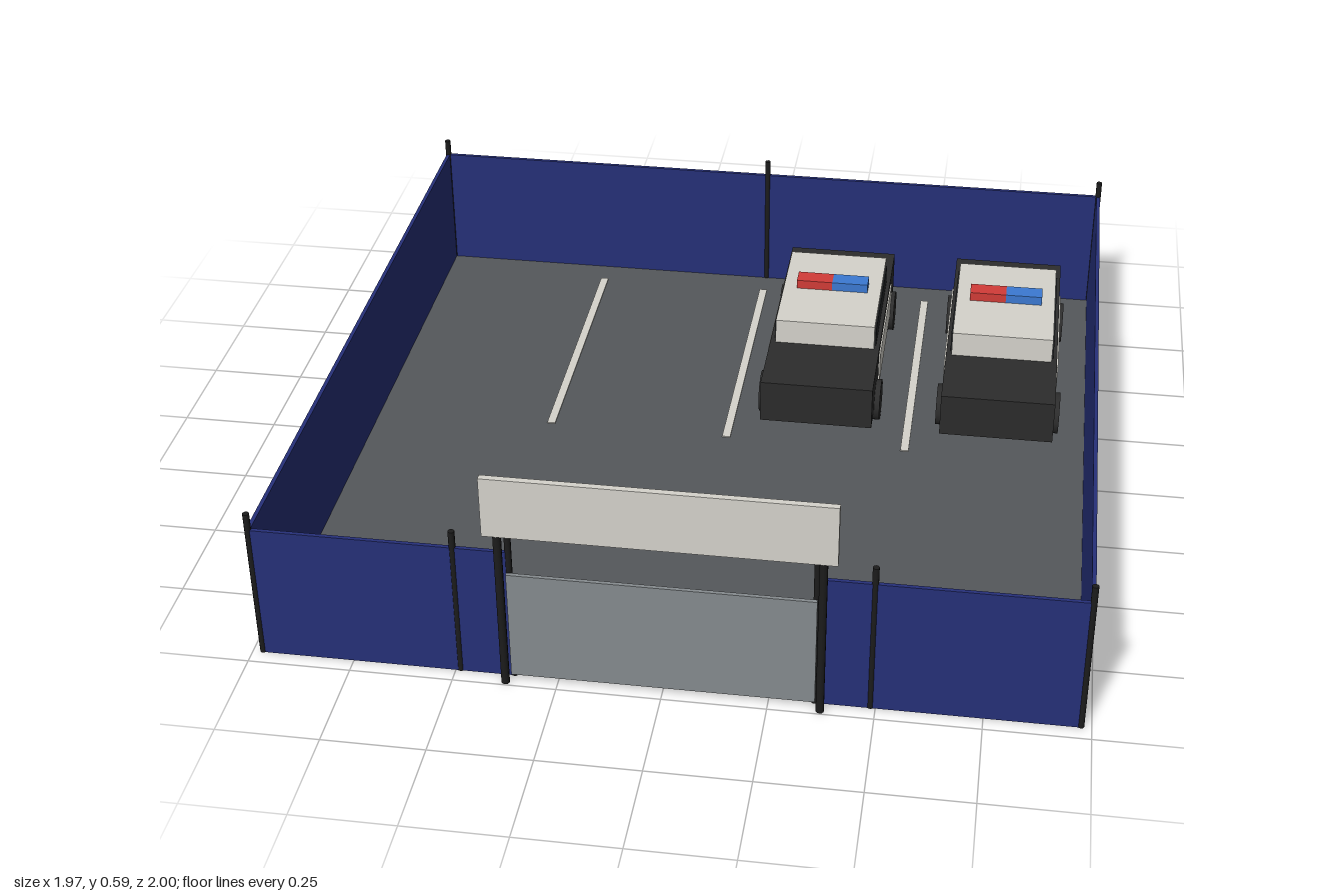
import * as THREE from 'three';

const mat = (name, color) => {
  const m = new THREE.MeshStandardMaterial({ color });
  m.name = name;
  return m;
};

export function createModel() {
  const asphalt = mat('asphalt grey', 0x55585b);
  const navy = mat('navy panel', 0x263079);
  const steel = mat('post black', 0x1c1c1c);
  const gateGrey = mat('gate grey', 0x868c8f);
  const white = mat('off white', 0xd6d4cc);
  const black = mat('car black', 0x2c2c2c);
  const glass = mat('window black', 0x222426);
  const red = mat('lamp red', 0xd23c38);
  const blue = mat('lamp blue', 0x3c7ad2);

  const model = new THREE.Group();
  model.name = 'fencedParkingLot';

  // Box given by its lower and upper limits on each axis
  const box = (parent, name, material, [x0, x1], [y0, y1], [z0, z1]) => {
    const mesh = new THREE.Mesh(new THREE.BoxGeometry(x1 - x0, y1 - y0, z1 - z0), material);
    mesh.position.set((x0 + x1) / 2, (y0 + y1) / 2, (z0 + z1) / 2);
    mesh.name = name;
    parent.add(mesh);
    return mesh;
  };
  const post = (name, x, z, height, radius) => {
    const mesh = new THREE.Mesh(new THREE.CylinderGeometry(radius, radius, height, 10), steel);
    mesh.position.set(x, height / 2, z);
    mesh.name = name;
    model.add(mesh);
  };

  // Ground and parking bay lines
  box(model, 'ground', asphalt, [-0.975, 0.975], [0, 0.01], [-0.993, 0.957]);
  for (const x of [-0.488, 0, 0.488])
    box(model, 'bayLine', white, [x - 0.011, x + 0.011], [0.01, 0.013], [-0.91, -0.1]);

  // Fence panels, with an opening at the front
  const wallY = [0, 0.36];
  box(model, 'backWall', navy, [-0.975, 0.975], wallY, [-0.998, -0.988]);
  for (const s of [-1, 1]) {
    const span = (a, b) => (s > 0 ? [a, b] : [-b, -a]);
    box(model, 'sideWall', navy, span(0.97, 0.98), wallY, [-0.993, 0.957]);
    box(model, 'frontWall', navy, span(0.357, 0.975), wallY, [0.952, 0.962]);
    post('cornerPost', s * 0.975, 0.957, 0.405, 0.008);
    post('cornerPost', s * 0.975, -0.992, 0.405, 0.008);
    post('frontPost', s * 0.488, 0.957, 0.405, 0.008);
    post('openingPost', s * 0.357, 0.957, 0.405, 0.008);
    post('gatePost', s * 0.373, 0.988, 0.44, 0.01);
  }
  post('backPost', 0, -0.992, 0.405, 0.008);

  // Sliding gate and the blank board over it
  box(model, 'gate', gateGrey, [-0.36, 0.36], [0.018, 0.31], [0.971, 0.981]);
  box(model, 'overheadBoard', white, [-0.406, 0.406], [0.43, 0.588], [0.984, 1]);

  // Parked patrol car, built about its own centre
  const makeCar = (x) => {
    const car = new THREE.Group();
    car.name = 'patrolCar';
    box(car, 'body', black, [-0.152, 0.152], [0.06, 0.18], [-0.38, 0.38]);
    box(car, 'cabin', white, [-0.137, 0.137], [0.17, 0.25], [-0.228, 0.165]);
    for (const s of [-1, 1]) {
      const plate = (name, m, at, y, z) =>
        box(car, name, m, [s * at - 0.003, s * at + 0.003], y, z);
      plate('sideWindow', glass, 0.138, [0.18, 0.237], [-0.205, 0.145]);
      plate('door', white, 0.153, [0.075, 0.165], [-0.228, 0.165]);
      for (const z of [-0.243, 0.243]) {
        const wheel = new THREE.Mesh(new THREE.CylinderGeometry(0.057, 0.057, 0.04, 16), black);
        wheel.name = 'wheel';
        wheel.rotation.z = Math.PI / 2;
        wheel.position.set(s * 0.147, 0.067, z);
        car.add(wheel);
      }
    }
    // Roof lamps
    box(car, 'redLamp', red, [-0.1, 0], [0.25, 0.275], [-0.07, -0.02]);
    box(car, 'blueLamp', blue, [0, 0.1], [0.25, 0.275], [-0.07, -0.02]);
    car.position.set(x, 0, -0.505);
    model.add(car);
  };
  makeCar(0.242);
  makeCar(0.73);

  return model;
}
